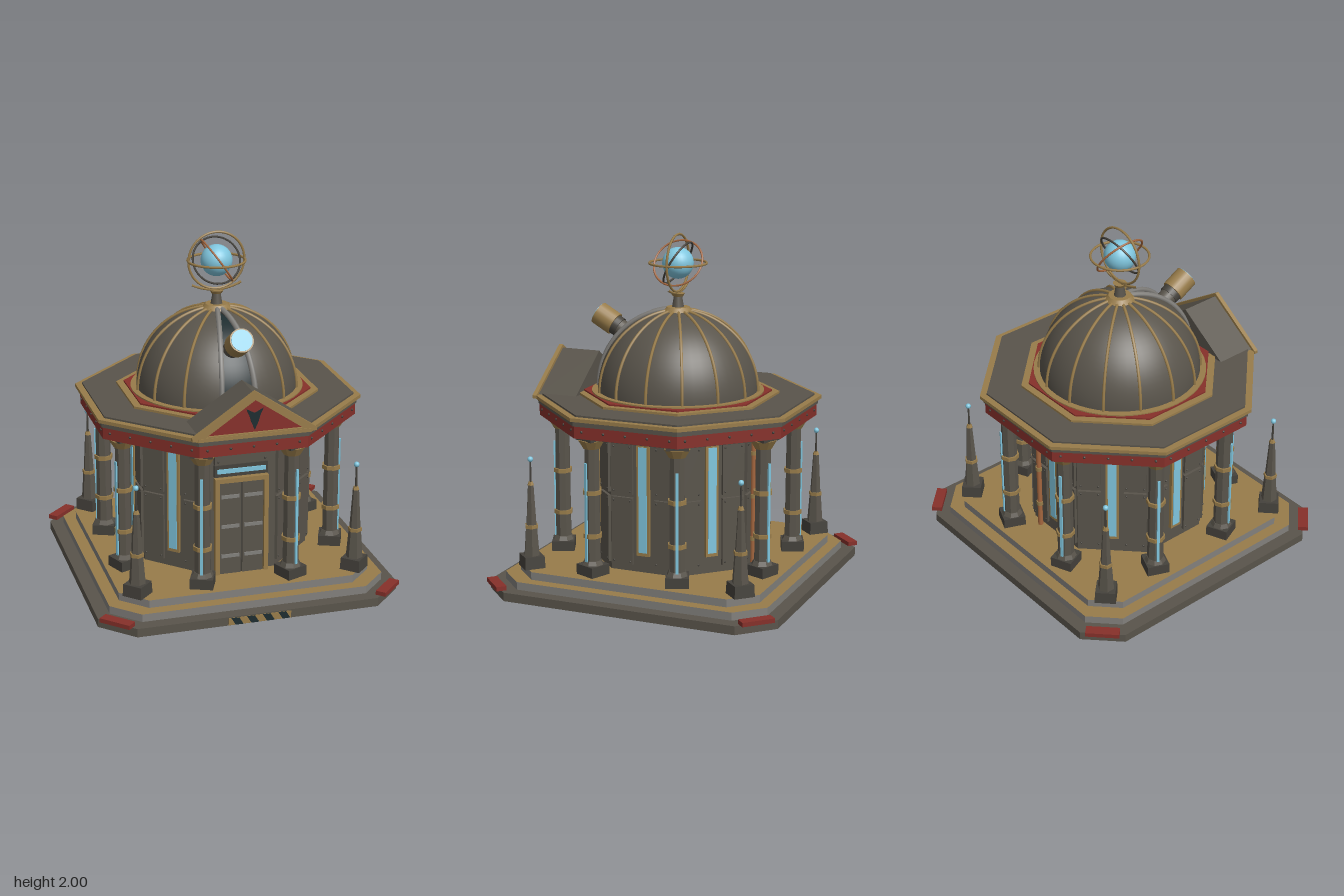
import * as THREE from 'three';
import { toCreasedNormals } from 'three/addons/utils/BufferGeometryUtils.js';

const mat = (name, color, side = THREE.FrontSide) => Object.assign(new THREE.MeshStandardMaterial({ color, side }), { name });
const dark = mat('gunmetal', 0x59544b, THREE.DoubleSide);
const shade = mat('dark iron', 0x45423c);
const brass = mat('brass', 0x987c4a);
const red = mat('red enamel', 0x86302a);
const stone = mat('grey stone', 0x82807c);
const blue = mat('blue glass', 0x80c6de);
const teal = mat('dark teal', 0x1d2c2f, THREE.DoubleSide);
const copper = mat('copper', 0xa5673f);

const PI = Math.PI;

function add(parent, name, geo, material, x = 0, y = 0, z = 0) {
  const m = new THREE.Mesh(geo, material);
  m.name = name;
  m.position.set(x, y, z);
  parent.add(m);
  return m;
}
function group(parent, name, x = 0, y = 0, z = 0, ry = 0) {
  const g = new THREE.Group();
  g.name = name;
  g.position.set(x, y, z);
  g.rotation.y = ry;
  parent.add(g);
  return g;
}
const box = (p, name, m, w, h, d, x, y, z) => add(p, name, new THREE.BoxGeometry(w, h, d), m, x, y, z);

// Straight or tapered prism between two heights
function drum(p, name, m, r0, r1, y0, y1, sides = 8, start = 0) {
  const g = new THREE.CylinderGeometry(r1, r0, y1 - y0, sides, 1, false, start);
  return add(p, name, sides <= 8 ? toCreasedNormals(g, 0.3) : g, m, 0, (y0 + y1) / 2, 0);
}
// Octagonal slab given by its apothem, flat side to the front
const octagon = (p, name, m, a, y0, y1) => drum(p, name, m, a / Math.cos(PI / 8), a / Math.cos(PI / 8), y0, y1, 8, PI / 8);

const polygon = pts => new THREE.Shape(pts.map(([x, y]) => new THREE.Vector2(x, y)));
const extrude = (shape, depth) => new THREE.ExtrudeGeometry(shape, { depth, bevelEnabled: false });

// Square slab with cut corners; caps and sides may differ in colour
function step(p, name, mats, half, cut, y0, y1) {
  const c = half - cut;
  const s = polygon([[half, -c], [half, c], [c, half], [-c, half], [-half, c], [-half, -c], [-c, -half], [c, -half]]);
  return add(p, name, extrude(s, y1 - y0).rotateX(-PI / 2), mats, 0, y0, 0);
}

function buildBase(root) {
  const base = group(root, 'base');
  step(base, 'plinth', dark, 0.872, 0.18, 0, 0.05);
  step(base, 'lowerStep', [brass, stone], 0.797, 0.15, 0.05, 0.095);
  step(base, 'upperStep', [brass, stone], 0.73, 0.14, 0.095, 0.14);
  for (const sx of [-1, 1]) for (const sz of [-1, 1]) {
    box(base, 'cornerPlate', red, 0.19, 0.025, 0.06, sx * 0.783, 0.0625, sz * 0.783).rotation.y = sx * sz * PI / 4;
  }
  // Hazard stripes on the front edge
  box(base, 'hazardPlate', brass, 0.36, 0.042, 0.004, 0, 0.023, 0.873);
  for (let i = 0; i < 4; i++) {
    const x = -0.165 + i * 0.09;
    add(base, 'hazardStripe', extrude(polygon([[x + 0.025, 0.002], [x + 0.07, 0.002], [x + 0.045, 0.044], [x, 0.044]]), 0.002), teal, 0, 0, 0.8745);
  }
}

function buildObelisk(root, x, z) {
  const g = group(root, 'cornerObelisk', x, 0, z);
  drum(g, 'foot', shade, 0.085, 0.08, 0.14, 0.21, 4);
  drum(g, 'lowerShaft', dark, 0.048, 0.035, 0.21, 0.38, 6);
  drum(g, 'collar', brass, 0.04, 0.04, 0.37, 0.39, 6);
  drum(g, 'upperShaft', dark, 0.032, 0.018, 0.39, 0.62, 6);
  drum(g, 'tip', brass, 0.02, 0.012, 0.62, 0.64, 6);
  drum(g, 'rod', shade, 0.007, 0.005, 0.64, 0.76, 6);
  add(g, 'lamp', new THREE.SphereGeometry(0.016, 12, 8), blue, 0, 0.77, 0);
}

function buildPillar(root, angle) {
  const g = group(root, 'pillar', 0.67 * Math.sin(angle), 0, 0.67 * Math.cos(angle), angle);
  box(g, 'pillarFoot', shade, 0.13, 0.06, 0.13, 0, 0.17, 0);
  drum(g, 'footRing', dark, 0.062, 0.05, 0.2, 0.225, 8, PI / 8);
  drum(g, 'shaft', dark, 0.047, 0.043, 0.2, 0.89, 8, PI / 8);
  for (const y of [0.37, 0.62]) drum(g, 'band', brass, 0.055, 0.055, y - 0.012, y + 0.012, 8, PI / 8);
  drum(g, 'capital', brass, 0.048, 0.078, 0.87, 0.92, 8, PI / 8);
  box(g, 'capitalPlate', shade, 0.125, 0.025, 0.125, 0, 0.93, 0);
  box(g, 'lightStrip', blue, 0.016, 0.57, 0.009, 0, 0.505, 0.047);
}

// Framed window flanked by riveted panels; local z points outwards
function buildWall(g) {
  box(g, 'windowFrame', brass, 0.076, 0.65, 0.022, 0, 0.565, 0.495);
  box(g, 'windowGlass', blue, 0.05, 0.61, 0.006, 0, 0.565, 0.507);
  for (const sx of [-1, 1]) for (const [y, h] of [[0.375, 0.39], [0.735, 0.29]]) {
    box(g, 'wallPanel', dark, 0.13, h, 0.02, sx * 0.13, y, 0.493);
    for (const dx of [-0.05, 0.05]) for (const dy of [-1, 1]) {
      add(g, 'rivet', new THREE.SphereGeometry(0.006, 6, 4), shade, sx * 0.13 + dx, y + dy * (h / 2 - 0.018), 0.503);
    }
  }
}

function buildDoor(root) {
  const g = group(root, 'doorway');
  box(g, 'doorRecess', shade, 0.27, 0.56, 0.02, 0, 0.42, 0.495);
  for (const sx of [-1, 1]) {
    box(g, 'doorFrameSide', brass, 0.026, 0.58, 0.045, sx * 0.142, 0.43, 0.503);
    box(g, 'doorLeaf', dark, 0.121, 0.55, 0.02, sx * 0.065, 0.415, 0.505);
    for (const y of [0.25, 0.43, 0.61]) box(g, 'doorBar', stone, 0.105, 0.02, 0.009, sx * 0.067, y, 0.517);
  }
  box(g, 'doorFrameTop', brass, 0.31, 0.026, 0.045, 0, 0.707, 0.503);
  box(g, 'lampHousing', shade, 0.31, 0.07, 0.02, 0, 0.76, 0.495);
  box(g, 'doorLamp', blue, 0.28, 0.025, 0.009, 0, 0.76, 0.508);
  box(g, 'lintelPanel', dark, 0.31, 0.14, 0.03, 0, 0.87, 0.497);
  for (const sx of [-1, 1]) add(g, 'rivet', new THREE.SphereGeometry(0.007, 6, 4), shade, sx * 0.135, 0.82, 0.512);
}

function buildPediment(root) {
  const g = group(root, 'pediment');
  add(g, 'gableRoof', extrude(polygon([[-0.32, 1.07], [0.32, 1.07], [0, 1.285]]), 0.24), dark, 0, 0, 0.5);
  const frame = polygon([[-0.35, 1.05], [0.35, 1.05], [0.35, 1.068], [0, 1.305], [-0.35, 1.068]]);
  frame.holes.push(new THREE.Path([[-0.27, 1.072], [0, 1.256], [0.27, 1.072]].map(p => new THREE.Vector2(...p))));
  add(g, 'gableFrame', extrude(frame, 0.025), brass, 0, 0, 0.735);
  add(g, 'gablePanel', extrude(polygon([[-0.28, 1.068], [0.28, 1.068], [0, 1.262]]), 0.008), red, 0, 0, 0.738);
  add(g, 'gableEmblem', extrude(polygon([[0, 1.085], [0.02, 1.13], [0.03, 1.165], [0.048, 1.205], [0, 1.18], [-0.048, 1.205], [-0.03, 1.165], [-0.02, 1.13]]), 0.004), teal, 0, 0, 0.747);
}

function buildDome(root) {
  const g = group(root, 'dome', 0, 1.1, 0);
  const gap = 0.21;
  add(g, 'domeShell', new THREE.SphereGeometry(0.46, 48, 20, PI / 2 + gap, 2 * PI - 2 * gap, 0, PI / 2), dark);
  add(g, 'slitInterior', new THREE.SphereGeometry(0.435, 8, 20, PI / 2 - gap - 0.05, 2 * gap + 0.1, 0, PI / 2), teal);
  // Ribs, leaving the two beside the slit to the rails
  for (let k = 0; k < 14; k++) {
    if (k === 10 || k === 11) continue;
    add(g, 'domeRib', new THREE.TorusGeometry(0.463, 0.009, 6, 24, PI / 2), brass).rotation.y = k * 2 * PI / 14;
  }
  for (const s of [-1, 1]) {
    add(g, 'slitRail', new THREE.TorusGeometry(0.465, 0.016, 6, 24, PI / 2 - 0.08), stone).rotation.y = -PI / 2 + s * gap;
  }
  // Telescope pointing up and forwards
  const t = group(g, 'telescope', 0, 0.41, 0.5);
  t.rotation.x = PI / 3;
  drum(t, 'tube', dark, 0.052, 0.052, -0.36, -0.1, 20);
  drum(t, 'tubeRing', shade, 0.058, 0.058, -0.155, -0.12, 20);
  drum(t, 'barrel', brass, 0.068, 0.068, -0.12, 0, 20);
  drum(t, 'lens', blue, 0.06, 0.06, -0.004, 0.004, 20);
}

function buildArmillary(root) {
  const g = group(root, 'armillary');
  drum(g, 'domeCap', brass, 0.085, 0.065, 1.555, 1.58, 12);
  drum(g, 'post', dark, 0.034, 0.022, 1.58, 1.65, 12);
  drum(g, 'postDisc', brass, 0.03, 0.04, 1.64, 1.657, 12);
  const cradle = new THREE.QuadraticBezierCurve3(new THREE.Vector3(-0.145, 1.695, 0), new THREE.Vector3(0, 1.625, 0), new THREE.Vector3(0.145, 1.695, 0));
  add(g, 'cradle', new THREE.TubeGeometry(cradle, 16, 0.007, 6), brass);
  add(g, 'globe', new THREE.SphereGeometry(0.09, 28, 18), blue, 0, 1.83, 0);
  const ring = (name, r, tube, m, rx, ry, rz) => add(g, name, new THREE.TorusGeometry(r, tube, 6, 48), m, 0, 1.83, 0).rotation.set(rx, ry, rz);
  ring('meridianRing', 0.163, 0.007, brass, 0, 0, 0);
  ring('horizonRing', 0.163, 0.007, brass, PI / 2, 0, 0);
  ring('darkTiltedRing', 0.137, 0.006, shade, -0.52, 0, 0);
  // Contains the z axis, leaning left at the top
  const tilt = group(g, 'tiltedRing', 0, 1.83, 0);
  tilt.rotation.z = 0.61;
  add(tilt, 'copperRing', new THREE.TorusGeometry(0.145, 0.006, 6, 48), copper).rotation.y = PI / 2;
}

export function createModel() {
  const root = new THREE.Group();
  root.name = 'observatory';
  buildBase(root);
  for (const sx of [-1, 1]) for (const sz of [-1, 1]) buildObelisk(root, sx * 0.633, sz * 0.633);

  // Octagonal hall
  octagon(root, 'hallWalls', dark, 0.487, 0.14, 0.945);
  for (let k = 0; k < 8; k++) {
    buildPillar(root, PI / 8 + k * PI / 4);
    const face = group(root, 'hallSide', 0, 0, 0, k * PI / 4);
    if (k > 0) buildWall(face);
    for (let i = -2; i <= 2; i++) add(face, 'friezeRivet', new THREE.SphereGeometry(0.008, 6, 4), shade, i * 0.13, 0.985, 0.738);
  }
  buildDoor(root);
  for (const x of [-0.12, 0.12]) {
    const pipe = group(root, 'backPipe', x, 0, -0.512);
    drum(pipe, 'pipe', copper, 0.015, 0.015, 0.14, 0.94, 10);
    for (const y of [0.3, 0.55, 0.8]) drum(pipe, 'pipeClamp', brass, 0.021, 0.021, y - 0.012, y + 0.012, 10);
  }

  // Entablature and flat roof
  octagon(root, 'soffit', shade, 0.715, 0.938, 0.948);
  octagon(root, 'frieze', red, 0.738, 0.946, 1.015);
  octagon(root, 'friezeCap', dark, 0.745, 1.015, 1.045);
  octagon(root, 'cornice', brass, 0.764, 1.045, 1.065);
  octagon(root, 'flatRoof', dark, 0.727, 1.06, 1.075);
  octagon(root, 'domeCurb', brass, 0.54, 1.07, 1.088);
  octagon(root, 'curbInlay', red, 0.5, 1.08, 1.097);
  drum(root, 'domeRing', brass, 0.495, 0.495, 1.085, 1.104, 48);

  buildPediment(root);
  buildDome(root);
  buildArmillary(root);
  return root;
}
